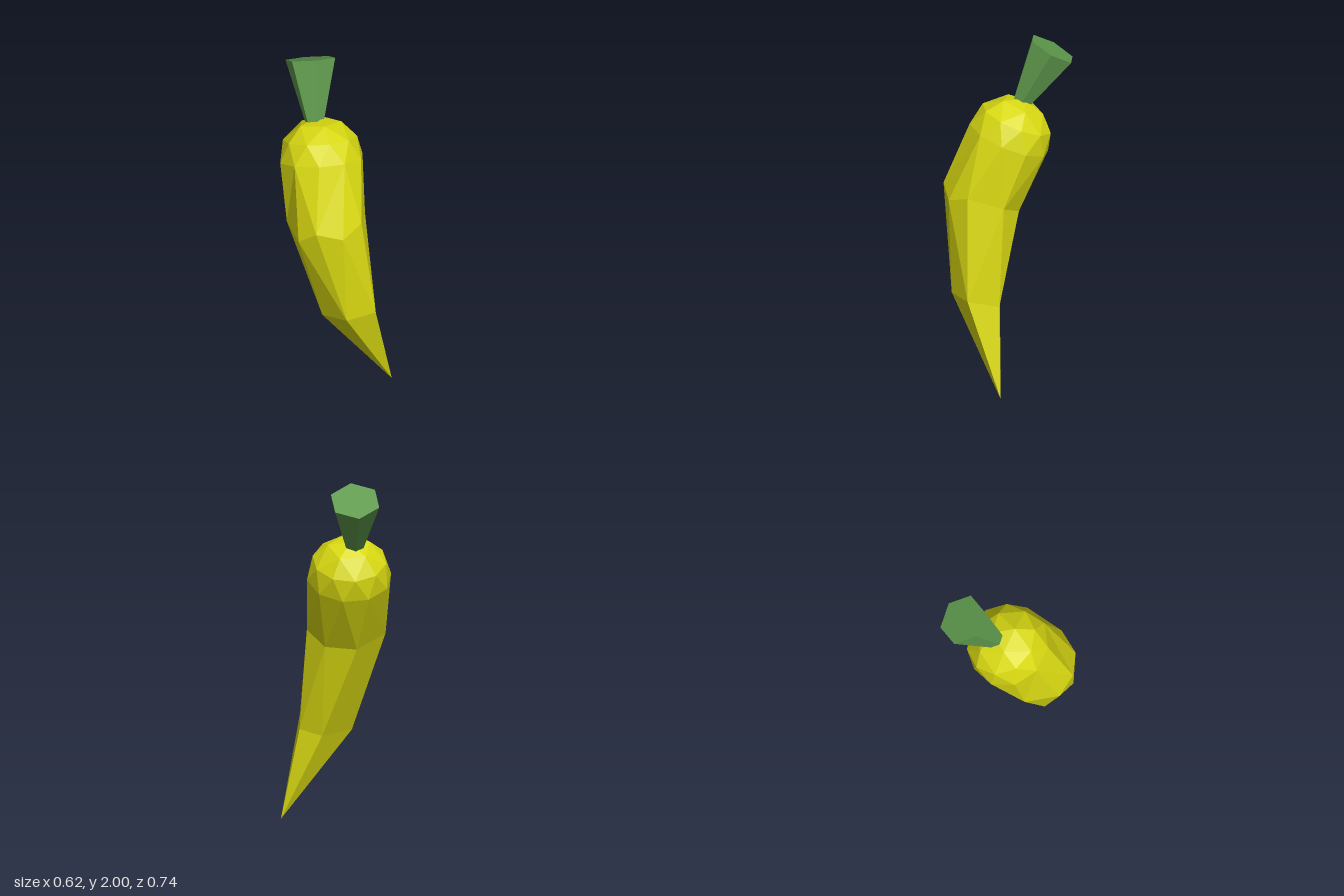
import * as THREE from 'three';

const V = (x, y, z) => new THREE.Vector3(x, y, z);
const UP = V(0, 1, 0);

// Triangles between two rings that may differ in point count (a above b).
function bridge(a, b, out) {
  const na = a.length > 1 ? a.length : 0;
  const nb = b.length > 1 ? b.length : 0;
  let start = 0;
  b.forEach((p, k) => {
    if (p.distanceTo(a[0]) < b[start].distanceTo(a[0])) start = k;
  });
  const A = i => a[i % a.length];
  const B = j => b[(j + start) % b.length];
  let i = 0, j = 0;
  while (i < na || j < nb) {
    const stepA = j >= nb || (i < na && A(i + 1).distanceTo(B(j)) < A(i).distanceTo(B(j + 1)));
    if (stepA) out.push(A(i), B(j), A(++i));
    else out.push(A(i), B(j), B(++j));
  }
}

export function createModel() {
  const group = new THREE.Group();
  const yellow = new THREE.MeshStandardMaterial({ color: 0xd8d812, flatShading: true });
  yellow.name = 'pepperYellow';
  const green = new THREE.MeshStandardMaterial({ color: 0x5f9a4d, flatShading: true });
  green.name = 'stemGreen';

  // Faceted dome, tipped backwards
  const centre = V(-0.08, 1.43, 0);
  const domeTilt = new THREE.Quaternion().setFromUnitVectors(UP, V(-0.08, 1, -0.42).normalize());
  const domeRing = (count, polar, spin) => Array.from({ length: count }, (_, k) => {
    const t = spin + (k / count) * Math.PI * 2;
    return V(Math.sin(polar) * Math.sin(t), Math.cos(polar), Math.sin(polar) * Math.cos(t))
      .multiplyScalar(0.238).applyQuaternion(domeTilt).add(centre);
  });

  const rings = [
    domeRing(1, 0, 0),
    domeRing(5, 0.55, 0.3),
    domeRing(10, 1.06, 0.3),
    domeRing(10, 1.58, 0.3 + Math.PI / 10),
    // belly
    [V(-0.1, 1.16, 0.365), V(0.05, 1.12, 0.355), V(0.15, 1.17, 0.26), V(0.165, 1.1, 0.06),
      V(0.05, 1.03, -0.04), V(-0.13, 1.02, -0.04), V(-0.27, 1.08, 0.12), V(-0.2, 1.07, 0.305)],
    // taper
    [V(0.07, 0.56, 0.34), V(0.23, 0.57, 0.27), V(0.21, 0.52, 0.09),
      V(0.08, 0.49, 0.07), V(-0.07, 0.5, 0.2)],
    // pointed tip
    [V(0.315, 0, 0.095)],
  ];
  const points = [];
  for (let k = 0; k < rings.length - 1; k++) bridge(rings[k], rings[k + 1], points);
  const bodyGeometry = new THREE.BufferGeometry().setFromPoints(points);
  bodyGeometry.computeVertexNormals();
  const body = new THREE.Mesh(bodyGeometry, yellow);
  body.name = 'pepperBody';
  group.add(body);

  // Flared six-sided stem leaning back
  const axis = V(-0.09, 1, -0.58).normalize();
  const length = 0.36;
  const stemGeometry = new THREE.CylinderGeometry(0.144, 0.052, length, 6);
  stemGeometry.rotateY(0.3);
  const stem = new THREE.Mesh(stemGeometry, green);
  stem.name = 'stem';
  stem.quaternion.setFromUnitVectors(UP, axis);
  stem.position.set(-0.147, 1.927, -0.252).addScaledVector(axis, -length / 2);
  group.add(stem);

  return group;
}
